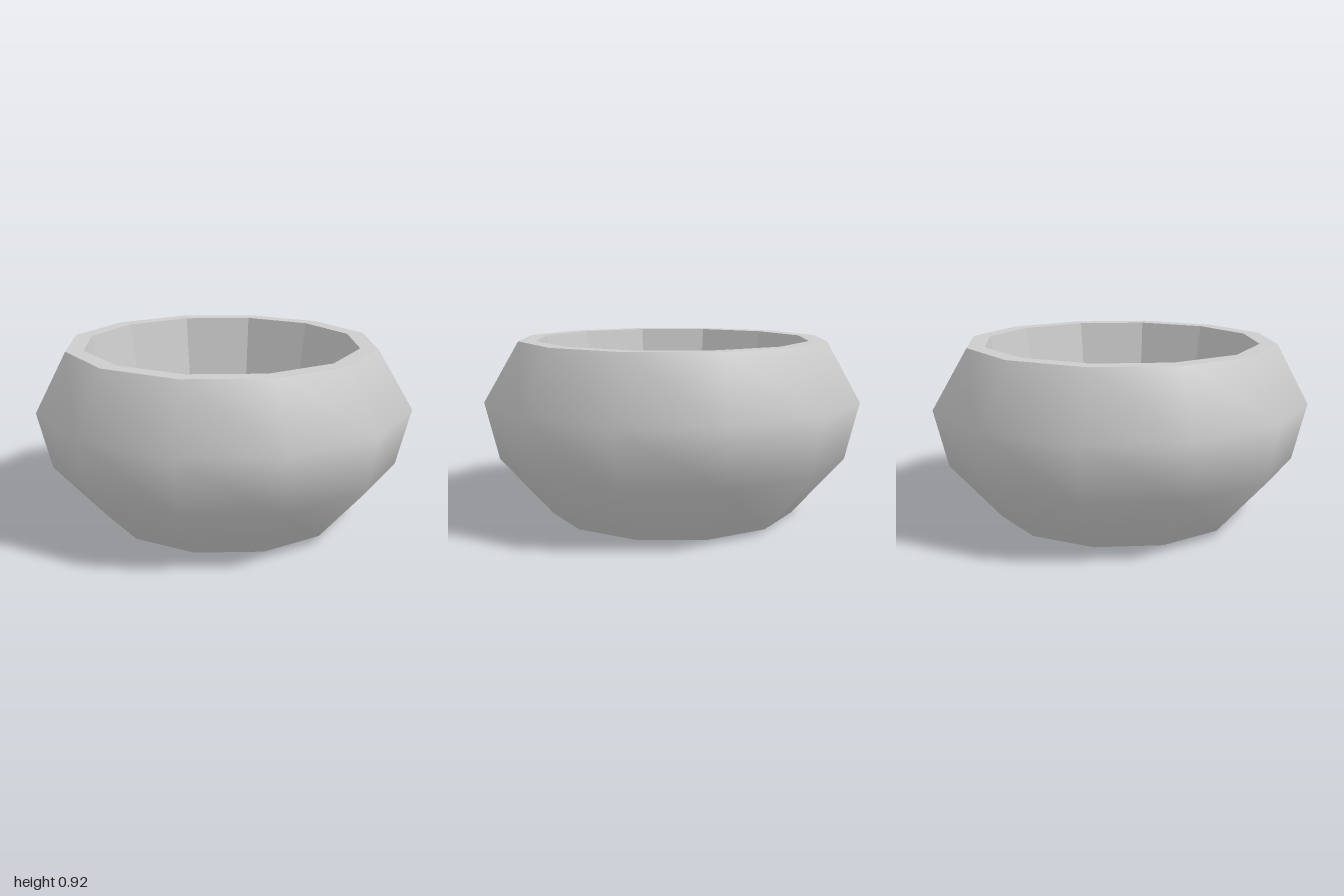
import * as THREE from 'three';

const SIDES = 12;

// Spins a profile of [radius, height] points; each ring leans slightly in x with height
function spin(name, profile, material, faceted) {
  let geometry = new THREE.LatheGeometry(profile.map(([r, y]) => new THREE.Vector2(r, y)), SIDES);
  const position = geometry.attributes.position;
  for (let i = 0; i < position.count; i++) {
    const y = position.getY(i);
    const lean = y > 0.9 || name === 'floor' || name === 'innerWall' ? -0.012 : y < 0.1 ? 0.005 : 0;
    position.setX(i, position.getX(i) + lean);
  }
  if (faceted) {
    geometry = geometry.toNonIndexed();
    geometry.computeVertexNormals();
  }
  const mesh = new THREE.Mesh(geometry, material);
  mesh.name = name;
  return mesh;
}

export function createModel() {
  const grey = new THREE.MeshStandardMaterial({ color: 0xcccccc });
  grey.name = 'light grey';

  const bowl = new THREE.Group();
  bowl.name = 'bowl';

  // Smooth rounded outside
  bowl.add(spin('outerWall', [[0.66, 0], [0.93, 0.31], [1, 0.61], [0.823, 0.92]], grey, false));
  // Flat rim
  bowl.add(spin('rim', [[0.823, 0.92], [0.73, 0.92]], grey, false));
  // Faceted inside, tapering to the floor
  bowl.add(spin('innerWall', [[0.73, 0.92], [0.63, 0.34]], grey, true));
  bowl.add(spin('floor', [[0.63, 0.34], [0, 0.34]], grey, false));
  // Flat underside
  bowl.add(spin('base', [[0, 0], [0.66, 0]], grey, false));

  return bowl;
}
